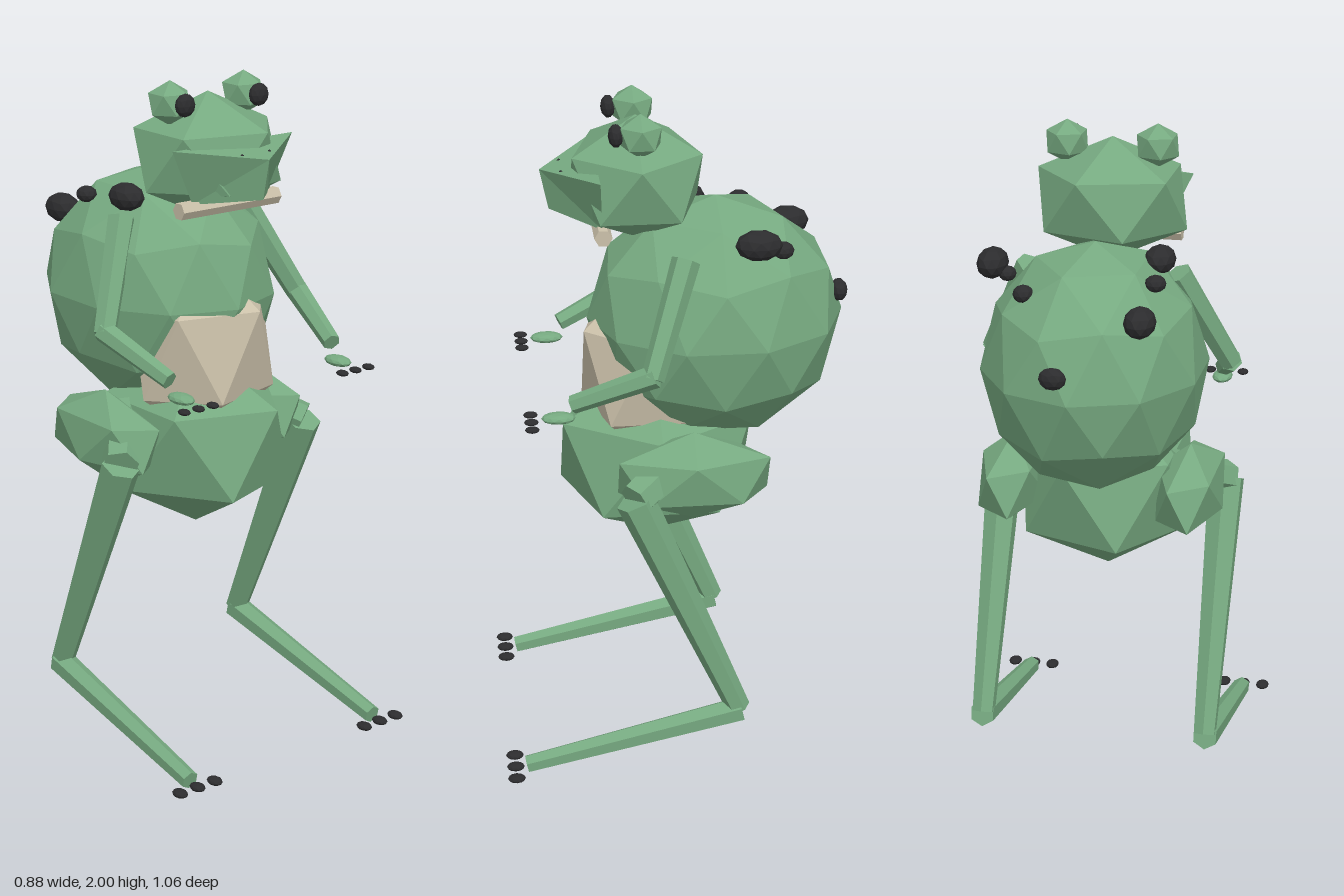
import * as THREE from 'three';

const mat = (name, color) => {
  const m = new THREE.MeshStandardMaterial({ color });
  m.name = name;
  return m;
};

export function createModel() {
  const green = mat('skin green', 0x76a980);
  const dark = mat('charcoal', 0x2c2c2e);
  const cream = mat('belly cream', 0xcbc1aa);
  const root = new THREE.Group();
  root.name = 'frog';

  // Faceted mesh: every triangle gets its own normal
  const add = (name, geo, material) => {
    const g = geo.index ? geo.toNonIndexed() : geo;
    g.computeVertexNormals();
    const mesh = new THREE.Mesh(g, material);
    mesh.name = name;
    root.add(mesh);
    return mesh;
  };

  // Icosphere standing on one vertex, stretched to the given radii
  const ball = (name, material, [x, y, z], [rx, ry, rz], detail = 0) => {
    const g = new THREE.IcosahedronGeometry(1, detail);
    g.rotateX(-Math.atan((1 + Math.sqrt(5)) / 2)).rotateY(Math.PI / 2);
    return add(name, g.scale(rx, ry, rz).translate(x, y, z), material);
  };

  // Tapered six-sided limb between two points
  const limb = (name, material, a, b, ra, rb) => {
    const p = new THREE.Vector3(...a), q = new THREE.Vector3(...b);
    const d = q.clone().sub(p);
    const g = new THREE.CylinderGeometry(rb, ra, d.length(), 6);
    g.applyQuaternion(new THREE.Quaternion().setFromUnitVectors(new THREE.Vector3(0, 1, 0), d.normalize()));
    g.translate(...p.add(q).multiplyScalar(0.5).toArray());
    return add(name, g, material);
  };

  // Trunk
  ball('body', green, [0, 1.335, -0.14], [0.333, 0.37, 0.38], 1);
  ball('belly', cream, [0, 1.19, 0.075], [0.25, 0.29, 0.21]);
  ball('pelvis', green, [0, 0.905, 0.04], [0.3, 0.28, 0.33]);

  // Head
  ball('head', green, [0, 1.77, 0.093], [0.25, 0.185, 0.22]);
  limb('throatBand', cream, [-0.19, 1.647, 0.2], [0.17, 1.645, 0.2], 0.026, 0.026);

  // Wedge snout: top triangle over a narrower bottom triangle
  const snout = new THREE.BufferGeometry();
  snout.setAttribute('position', new THREE.Float32BufferAttribute([
    0, 1.8, 0.37, 0.22, 1.825, 0.21, -0.22, 1.825, 0.21,
    0, 1.68, 0.345, 0.14, 1.66, 0.2, -0.14, 1.66, 0.2,
  ], 3));
  snout.setIndex([0, 1, 2, 3, 5, 4, 0, 3, 4, 0, 4, 1, 0, 2, 5, 0, 5, 3, 1, 4, 5, 1, 5, 2]);
  add('snout', snout, green);

  for (const s of [1, -1]) {
    const side = s > 0 ? 'left' : 'right';
    const limbs = (name, a, b, ra, rb) =>
      limb(side + name, green, [s * a[0], a[1], a[2]], [s * b[0], b[1], b[2]], ra, rb);

    // Face
    ball(side + 'Eye', green, [s * 0.135, 1.935, 0.09], [0.07, 0.065, 0.068]);
    ball(side + 'Pupil', dark, [s * 0.135, 1.938, 0.16], [0.033, 0.034, 0.022], 1);
    ball(side + 'Nostril', dark, [s * 0.05, 1.806, 0.31], [0.007, 0.007, 0.007]);

    // Arm
    limbs('UpperArm', [0.22, 1.59, -0.03], [0.365, 1.29, 0.08], 0.042, 0.034);
    limbs('Forearm', [0.365, 1.3, 0.07], [0.305, 1.195, 0.305], 0.034, 0.027);
    ball(side + 'Hand', green, [s * 0.295, 1.15, 0.345], [0.031, 0.016, 0.05], 1);

    // Leg
    ball(side + 'Haunch', green, [s * 0.27, 0.935, -0.05], [0.11, 0.138, 0.26]);
    limbs('Thigh', [0.2, 0.99, -0.05], [0.35, 0.9, 0.13], 0.06, 0.055);
    limbs('Shin', [0.348, 0.9, 0.13], [0.348, 0.18, -0.18], 0.058, 0.036);
    limbs('Foot', [0.35, 0.175, -0.19], [0.358, 0.025, 0.465], 0.04, 0.028);

    // Claws on hands and feet
    for (const i of [-1, 0, 1]) {
      ball(side + 'Finger', dark, [s * 0.295 + i * 0.051, 1.14, 0.423], [0.017, 0.009, 0.021], 1);
      ball(side + 'Toe', dark, [s * 0.358 + i * 0.064, 0.018, 0.5], [0.021, 0.012, 0.027], 1);
    }
  }

  // Warts on the back
  const warts = [
    [[-0.18, 1.55, -0.38], [0.046, 0.045, 0.065]],
    [[-0.195, 1.62, -0.235], [0.031, 0.025, 0.033]],
    [[-0.175, 1.64, -0.065], [0.046, 0.042, 0.065]],
    [[0.042, 1.41, -0.503], [0.04, 0.033, 0.026]],
    [[0.17, 1.59, -0.315], [0.03, 0.026, 0.033]],
    [[0.28, 1.65, -0.23], [0.045, 0.045, 0.068]],
    [[0.235, 1.622, -0.235], [0.025, 0.022, 0.03]],
  ];
  for (const [p, r] of warts) ball('wart', dark, p, r, 1);

  return root;
}
